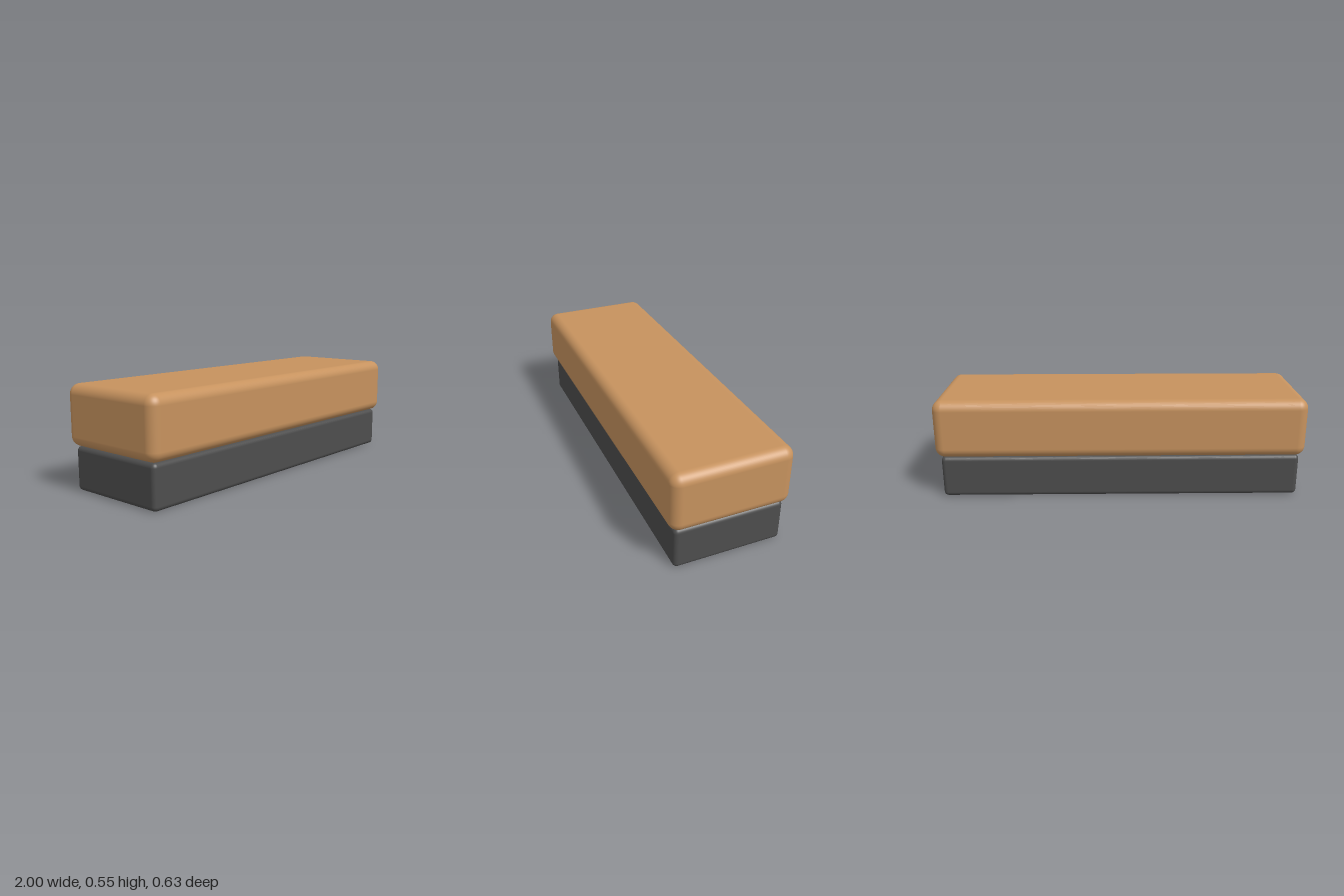
import * as THREE from 'three';
import { RoundedBoxGeometry } from 'three/addons/geometries/RoundedBoxGeometry.js';

export function createModel() {
  const model = new THREE.Group();
  model.name = 'bench';

  const tan = new THREE.MeshStandardMaterial({ name: 'tan', color: 0xc6925e });
  const charcoal = new THREE.MeshStandardMaterial({ name: 'charcoal', color: 0x4d4d4d });

  // Rounded block standing on height y, centred on x and z
  function block(name, width, height, depth, radius, y, material) {
    const mesh = new THREE.Mesh(new RoundedBoxGeometry(width, height, depth, 6, radius), material);
    mesh.name = name;
    mesh.position.y = y + height / 2;
    model.add(mesh);
  }

  // Plinth, then the softer, slightly overhanging seat
  block('base', 1.946, 0.229, 0.578, 0.024, 0, charcoal);
  block('seat', 2, 0.316, 0.631, 0.053, 0.229, tan);

  return model;
}
